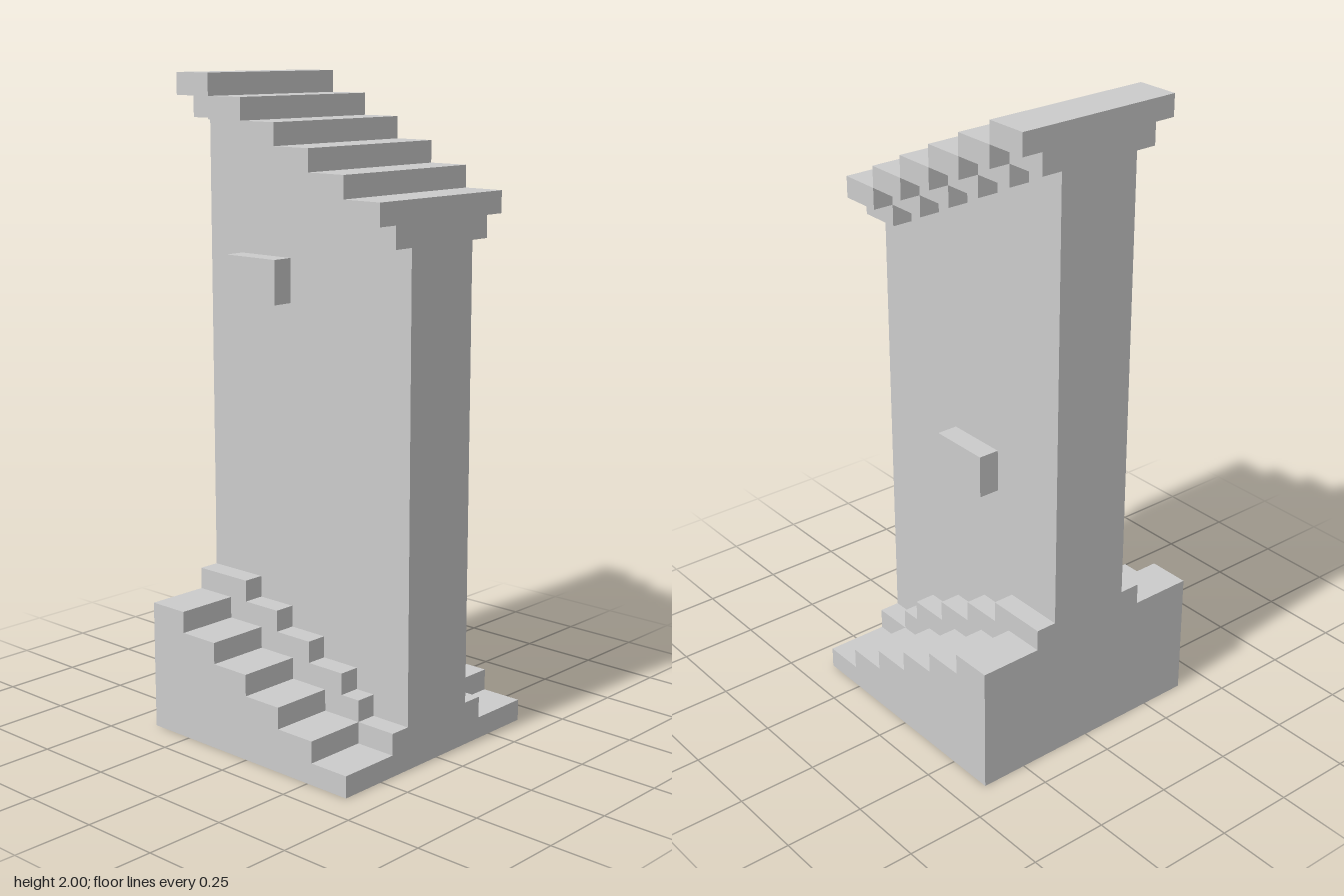
import * as THREE from 'three';

const U = 1 / 15; // one block of the modelling grid

export function createModel() {
  const model = new THREE.Group();
  model.name = 'steppedPillar';
  const material = new THREE.MeshStandardMaterial({ color: 0xcccccc, flatShading: true });

  const add = (name, geometry) => {
    const mesh = new THREE.Mesh(geometry.scale(U, U, U), material);
    mesh.name = name;
    model.add(mesh);
  };

  // Box given by its minimum and maximum corners, in blocks
  const block = (name, [x0, y0, z0], [x1, y1, z1]) => add(name,
    new THREE.BoxGeometry(x1 - x0, y1 - y0, z1 - z0)
      .translate((x0 + x1) / 2, (y0 + y1) / 2, (z0 + z1) / 2));

  // Staircase rising one block per step from front (z = 6) to back (z = -6),
  // standing on the ground and spanning x0..x1; risers lists the z of each step up
  const stairs = (name, x0, x1, firstTop, risers) => {
    const shape = new THREE.Shape();
    shape.moveTo(-6, 0);
    shape.lineTo(6, 0);
    shape.lineTo(6, firstTop + risers.length);
    for (let i = risers.length - 1; i >= 0; i--) {
      shape.lineTo(-risers[i], firstTop + i + 1);
      shape.lineTo(-risers[i], firstTop + i);
    }
    shape.lineTo(-6, firstTop);
    const geometry = new THREE.ExtrudeGeometry(shape, { depth: x1 - x0, bevelEnabled: false });
    add(name, geometry.rotateY(Math.PI / 2).translate(x0, 0, 0));
  };

  const evenRisers = [4, 2, 0, -2, -4];

  // Central wall with a stepped top
  stairs('wall', -2, 2, 23, evenRisers);

  // Base stairs and the narrow inner stairs, on both sides of the wall
  for (const [side, s] of [['left', 1], ['right', -1]]) {
    const span = (a, b) => (s > 0 ? [a, b] : [-b, -a]);
    stairs(side + 'InnerStairs', ...span(2, 3), 2, [4, 3, 1, -1, -3]);
    stairs(side + 'BaseStairs', ...span(3, 6), 1, evenRisers);
  }

  // Cap: each step is a wide tread carried by a narrower corbel
  for (let i = 0; i < 6; i++) {
    const z = 6 - 2 * i;
    block('corbel', [-3, 23 + i, z - 2], [3, 24 + i, z]);
    block('capTread', [-4, 24 + i, z - 2], [4, 25 + i, z]);
  }

  // Blocks jutting from the wall faces
  block('leftPeg', [2, 12, -2], [3, 14, 1]);
  block('rightPeg', [-3, 20, -4], [-2, 22, -1]);

  return model;
}
